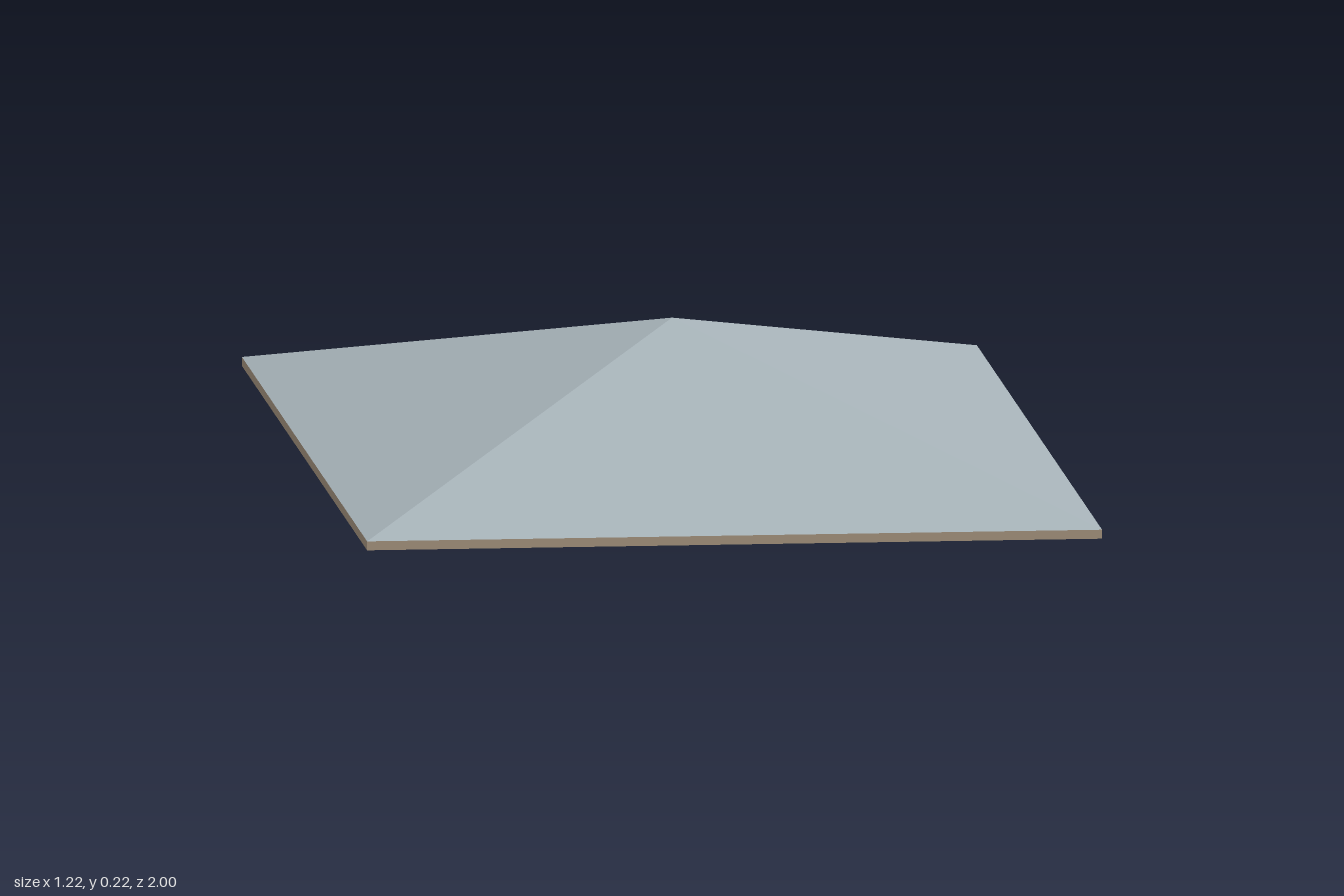
import * as THREE from 'three';

const HALF_X = 0.61, HALF_Z = 1;

// Lofts a rectangular profile: each point is [scale of the footprint, height].
function loft(name, color, profile) {
  const corners = [[1, 1], [1, -1], [-1, -1], [-1, 1]];
  const point = ([s, y], [cx, cz]) => [cx * s * HALF_X, y, cz * s * HALF_Z];
  const pos = [];
  for (let i = 0; i < profile.length - 1; i++) {
    const low = profile[i], high = profile[i + 1];
    corners.forEach((a, k) => {
      const b = corners[(k + 1) % 4];
      // a ring of scale 0 is an apex, so one triangle per side is enough
      if (low[0] > 0) pos.push(...point(low, a), ...point(low, b), ...point(high, b));
      if (high[0] > 0) pos.push(...point(low, a), ...point(high, b), ...point(high, a));
    });
  }
  const geometry = new THREE.BufferGeometry();
  geometry.setAttribute('position', new THREE.Float32BufferAttribute(pos, 3));
  geometry.computeVertexNormals();
  const mesh = new THREE.Mesh(geometry, new THREE.MeshStandardMaterial({ color, flatShading: true }));
  mesh.name = name;
  return mesh;
}

export function createModel() {
  const group = new THREE.Group();
  group.name = 'hippedRoof';
  const eave = [1, 0.015], drip = [1, 0], inner = [0.925, 0.013];

  // Four sloping panels meeting at the peak
  group.add(loft('roofPanels', 0xa6b2b8, [eave, [0, 0.225]]));
  // Edge band and the underside of the eaves
  group.add(loft('eaveTrim', 0xa08f7a, [inner, drip, eave]));
  // Hollow underside
  group.add(loft('ceiling', 0xa6b2b8, [[0, 0.212], inner]));
  return group;
}
